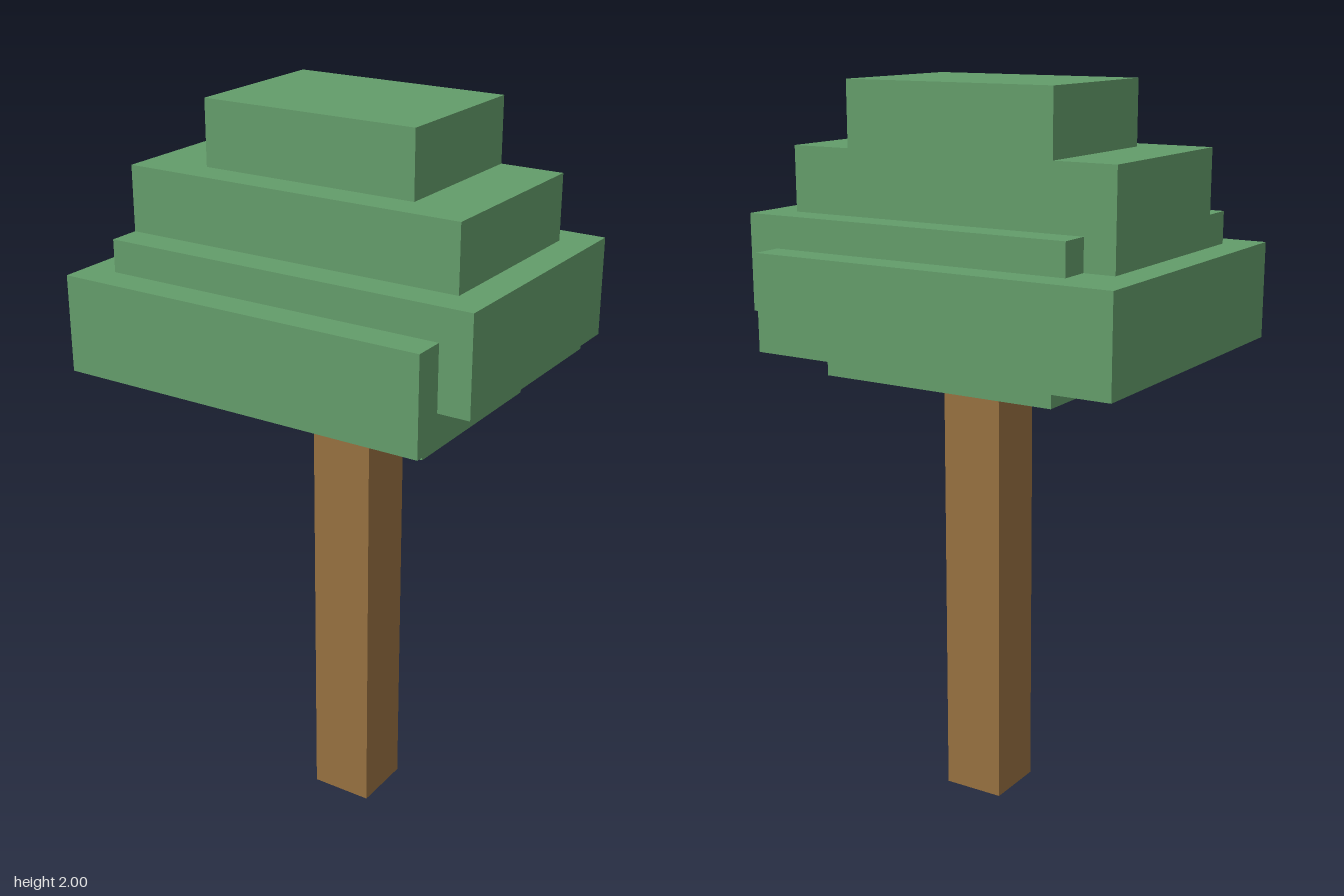
import * as THREE from 'three';

// Block size: the tree is 23 blocks tall
const U = 2 / 23;

export function createModel() {
  const leaf = new THREE.MeshStandardMaterial({ color: 0x639c6a });
  leaf.name = 'leaf green';
  const bark = new THREE.MeshStandardMaterial({ color: 0x967040 });
  bark.name = 'bark brown';

  const tree = new THREE.Group();
  tree.name = 'blockTree';

  // Extrudes a block outline, given as [x, z] corners, from y0 to y1
  const slab = (name, corners, y0, y1, material) => {
    const shape = new THREE.Shape(corners.map(([x, z]) => new THREE.Vector2(x * U, -z * U)));
    const geometry = new THREE.ExtrudeGeometry(shape, { depth: (y1 - y0) * U, bevelEnabled: false });
    geometry.rotateX(-Math.PI / 2);
    const mesh = new THREE.Mesh(geometry, material);
    mesh.name = name;
    mesh.position.y = y0 * U;
    tree.add(mesh);
  };
  const rect = (x0, x1, z0, z1) => [[x0, z1], [x1, z1], [x1, z0], [x0, z0]];

  slab('trunk', rect(6, 8, 4, 6), 0, 14, bark);

  // Stacked tiers of the crown, bottom to top
  slab('crownUnderside', rect(3, 11, 2, 8), 14, 15, leaf);
  slab('crownWideTier', rect(0, 12, 0, 10), 15, 18, leaf);
  // This tier lacks one block at its back corner
  slab('crownOffsetTier', [[1, 9], [13, 9], [13, 1], [2, 1], [2, 2], [1, 2]], 16, 19, leaf);
  slab('crownUpperTier', rect(1, 12, 2, 8), 19, 21, leaf);
  slab('crownTop', rect(3, 10, 2, 7), 21, 23, leaf);

  // Centre the block grid, then turn the whole tree slightly
  for (const part of tree.children) {
    part.position.x = -0.557;
    part.position.z = -0.431;
  }
  tree.rotation.y = -0.196;

  const model = new THREE.Group();
  model.name = 'tree';
  model.add(tree);
  return model;
}
